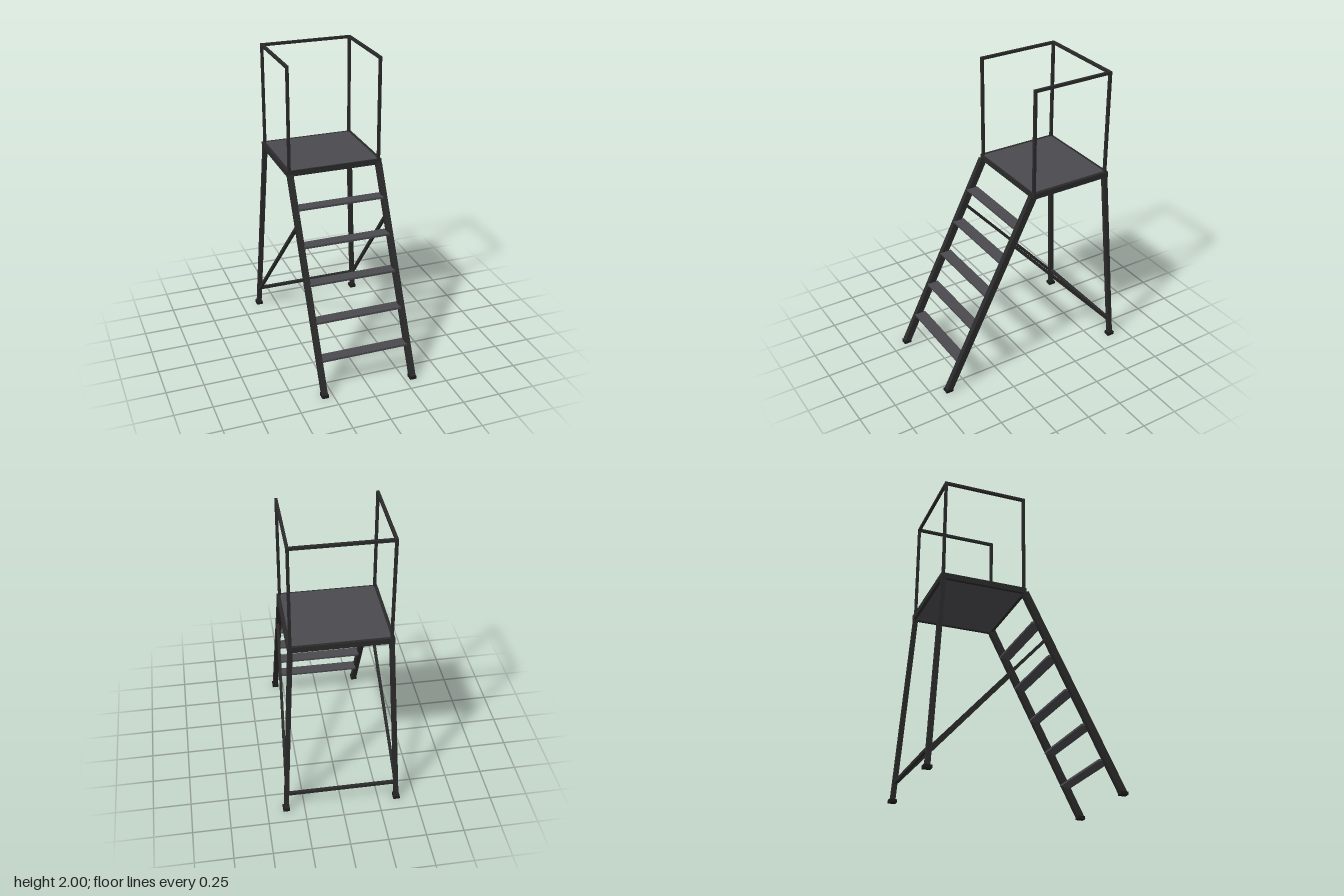
import * as THREE from 'three';

export function createModel() {
  const group = new THREE.Group();
  const frame = new THREE.MeshStandardMaterial({ name: 'dark steel', color: 0x2a2a2a });
  const tread = new THREE.MeshStandardMaterial({ name: 'grey plate', color: 0x4a494e });
  const rubber = new THREE.MeshStandardMaterial({ name: 'black rubber', color: 0x1c1c1c });

  const box = (name, material, [w, h, d], [x, y, z]) => {
    const mesh = new THREE.Mesh(new THREE.BoxGeometry(w, h, d), material);
    mesh.name = name;
    mesh.position.set(x, y, z);
    group.add(mesh);
    return mesh;
  };

  // Square bar between two points, kept level with the x axis
  const bar = (name, a, b, w, d) => {
    const p = new THREE.Vector3(...a), q = new THREE.Vector3(...b);
    const dir = q.clone().sub(p);
    const length = dir.length();
    dir.normalize();
    const side = new THREE.Vector3(1, 0, 0).addScaledVector(dir, -dir.x).normalize();
    const mesh = box(name, frame, [w, length, d], p.add(q).multiplyScalar(0.5).toArray());
    mesh.quaternion.setFromRotationMatrix(
      new THREE.Matrix4().makeBasis(side, dir, side.clone().cross(dir)));
  };

  // Platform with its surrounding frame
  box('platformDeck', tread, [0.61, 0.034, 0.548], [0, 1.292, -0.284]);
  box('platformFrontFrame', frame, [0.654, 0.038, 0.02], [0, 1.289, -0.01]);
  box('platformBackFrame', frame, [0.654, 0.038, 0.02], [0, 1.289, -0.566]);

  for (const s of [-1, 1]) {
    box('platformSideFrame', frame, [0.022, 0.038, 0.576], [s * 0.316, 1.289, -0.288]);

    // Stair stringer and rear leg
    bar('stringer', [s * 0.306, 0.012, 0.636], [s * 0.306, 1.28, -0.005], 0.034, 0.046);
    bar('rearLeg', [s * 0.373, 0.01, -0.637], [s * 0.31, 1.275, -0.558], 0.03, 0.03);

    // Feet
    box('frontFoot', rubber, [0.044, 0.02, 0.05], [s * 0.306, 0.01, 0.637]);
    box('rearFoot', rubber, [0.044, 0.02, 0.05], [s * 0.373, 0.01, -0.637]);

    // Diagonal brace
    bar('diagonalBrace', [s * 0.314, 0.968, 0.135], [s * 0.366, 0.13, -0.62], 0.018, 0.02);

    // Guard rail side
    for (const z of [-0.012, -0.559]) {
      box('railPost', frame, [0.018, 0.69, 0.018], [s * 0.309, 1.65, z]);
    }
    box('sideRail', frame, [0.018, 0.018, 0.565], [s * 0.309, 1.991, -0.2855]);
  }

  // Cross bars at the back
  box('backRail', frame, [0.636, 0.018, 0.018], [0, 1.991, -0.559]);
  box('rearCrossBar', frame, [0.734, 0.02, 0.02], [0, 0.132, -0.627]);

  // Stair treads
  for (let i = 0; i < 5; i++) {
    box('stairTread', tread, [0.586, 0.014, 0.078], [0, 0.213 + i * 0.218, 0.527 - i * 0.1095]);
  }
  return group;
}
